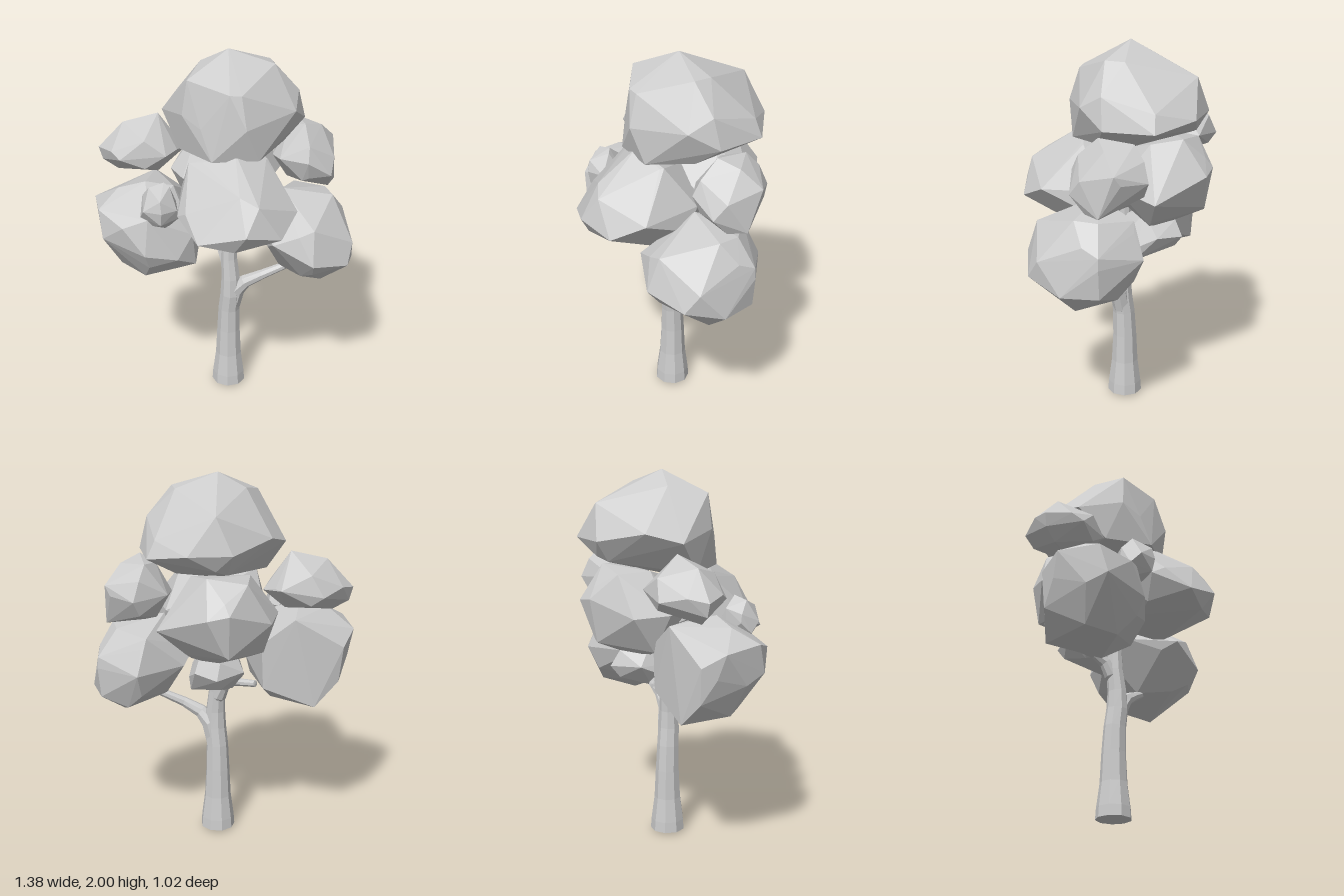
import * as THREE from 'three';
import { ConvexGeometry } from 'three/addons/geometries/ConvexGeometry.js';

const material = new THREE.MeshStandardMaterial({ color: 0xcccccc, flatShading: true });

// Loft of round sections [x, y, z, radius]; zero-radius ends close it
function limb(name, sections, sides = 8) {
  const up = new THREE.Vector3(0, 1, 0);
  const centres = sections.map(([x, y, z]) => new THREE.Vector3(x, y, z));
  const pos = [], index = [];
  centres.forEach((c, i) => {
    const dir = centres[Math.min(i + 1, centres.length - 1)].clone()
      .sub(centres[Math.max(i - 1, 0)]).normalize();
    const q = new THREE.Quaternion().setFromUnitVectors(up, dir);
    for (let j = 0; j < sides; j++) {
      const a = ((j + 0.5) / sides) * Math.PI * 2;
      const p = new THREE.Vector3(Math.cos(a), 0, Math.sin(a))
        .multiplyScalar(sections[i][3]).applyQuaternion(q).add(c);
      pos.push(p.x, p.y, p.z);
      if (i < centres.length - 1) {
        const k = i * sides + j, n = i * sides + ((j + 1) % sides);
        index.push(k, k + sides, n, n, k + sides, n + sides);
      }
    }
  });
  const g = new THREE.BufferGeometry();
  g.setAttribute('position', new THREE.Float32BufferAttribute(pos, 3));
  g.setIndex(index);
  g.computeVertexNormals();
  const mesh = new THREE.Mesh(g, material);
  mesh.name = name;
  return mesh;
}

// Faceted leaf clump: hull of an icosahedral core and a few jutting corners
function clump(name, centre, radii, corners) {
  const core = new THREE.IcosahedronGeometry(1.06, 0).scale(...radii).translate(...centre);
  const p = core.attributes.position;
  const points = corners.map((c) => new THREE.Vector3(...c));
  for (let i = 0; i < p.count; i++) points.push(new THREE.Vector3().fromBufferAttribute(p, i));
  const mesh = new THREE.Mesh(new ConvexGeometry(points), material);
  mesh.name = name;
  return mesh;
}

export function createModel() {
  const tree = new THREE.Group();
  tree.name = 'tree';

  // Trunk with a flared foot
  tree.add(limb('trunk', [
    [0.02, 0, -0.04, 0], [0.02, 0.012, -0.04, 0.094], [0.02, 0.07, -0.04, 0.09],
    [0.02, 0.2, -0.04, 0.073], [0.02, 0.36, -0.04, 0.065], [0.022, 0.5, -0.035, 0.06],
    [0.03, 0.6, -0.025, 0.058], [0.03, 0.7, -0.025, 0.052], [0.022, 0.82, -0.035, 0.045],
    [0.023, 0.95, -0.04, 0.041], [0.025, 1.25, -0.04, 0.03], [0.025, 1.26, -0.04, 0],
  ], 9));

  // Branches
  tree.add(limb('leftBranch', [
    [0.03, 0.46, -0.035, 0], [0.036, 0.52, -0.03, 0.048], [0.06, 0.63, -0.02, 0.05],
    [0.11, 0.685, 0, 0.037], [0.2, 0.735, 0.02, 0.027], [0.33, 0.795, 0.03, 0.02],
    [0.4, 0.83, 0.03, 0],
  ]));
  tree.add(limb('rightBranch', [
    [0.02, 0.73, -0.04, 0], [0.014, 0.79, -0.05, 0.04], [-0.01, 0.86, -0.08, 0.034],
    [-0.05, 0.9, -0.13, 0.025], [-0.1, 0.915, -0.19, 0.02], [-0.16, 0.925, -0.24, 0.018],
    [-0.162, 0.925, -0.242, 0],
  ]));

  // Leaf clumps
  const leaves = new THREE.Group();
  leaves.name = 'foliage';
  leaves.add(
    clump('crownClump', [0.06, 1.71, -0.12], [0.32, 0.24, 0.35], [
      [0.02, 2, -0.07], [-0.2, 1.89, 0.07], [0.25, 1.93, -0.02], [0, 1.85, 0.2],
      [-0.32, 1.66, -0.15], [0.42, 1.62, -0.07], [0.38, 1.78, -0.05], [-0.14, 1.66, 0.15],
      [0.08, 1.68, 0.245], [-0.02, 1.66, -0.475], [0.2, 1.66, -0.475], [0.39, 1.62, -0.33],
      [0.08, 1.81, -0.4], [-0.09, 1.5, 0.2], [0.15, 1.5, 0.2], [-0.24, 1.49, -0.02],
      [0.3, 1.52, 0], [0.05, 1.46, -0.07], [0, 1.55, -0.4]]),
    clump('frontClump', [0.03, 1.27, 0.14], [0.29, 0.23, 0.29], [
      [0.03, 1.54, 0.18], [-0.2, 1.46, 0.1], [0.2, 1.48, 0.12], [0.05, 1.23, 0.515],
      [-0.18, 1.16, 0.43], [0.235, 1.18, 0.45], [0.335, 1.26, 0.3], [-0.27, 1.23, 0.24],
      [0, 1.12, 0.45], [0.12, 1.36, 0.45], [0.31, 1.15, 0.04], [0.2, 1.06, 0.2],
      [0, 1.03, 0.05], [-0.2, 1.1, 0.2]]),
    clump('backClump', [0.02, 1.29, -0.23], [0.27, 0.24, 0.27], [
      [0, 1.37, -0.51], [0.11, 1.35, -0.51], [-0.1, 1.5, -0.4], [0.1, 1.53, -0.38],
      [0, 1.14, -0.47], [0.05, 1.04, -0.25], [-0.28, 1.3, -0.2], [0.35, 1.25, -0.32],
      [-0.2, 1.1, -0.25], [0.2, 1.1, -0.25]]),
    clump('lowerRightClump', [-0.42, 1.05, -0.03], [0.26, 0.25, 0.25], [
      [-0.69, 1.18, -0.14], [-0.67, 1.2, 0.07], [-0.66, 1, 0], [-0.47, 0.79, -0.26],
      [-0.27, 0.77, -0.03], [-0.44, 0.81, 0.1], [-0.17, 0.87, 0.1], [-0.135, 1, 0],
      [-0.2, 0.9, -0.25], [-0.19, 1.14, -0.25], [-0.36, 1.27, -0.26], [-0.44, 1, 0.24],
      [-0.55, 1.15, 0.2], [-0.27, 0.95, 0.2], [-0.42, 1.31, -0.02], [-0.62, 1.11, -0.24],
      [-0.6, 0.92, -0.23]]),
    clump('lowerLeftClump', [0.43, 1, 0.02], [0.25, 0.23, 0.29], [
      [0.685, 0.84, 0.05], [0.52, 0.7, 0.04], [0.4, 0.765, 0.05], [0.38, 0.82, 0.2],
      [0.64, 1.1, -0.05], [0.65, 1.06, -0.14], [0.64, 0.84, -0.14], [0.5, 0.79, -0.18],
      [0.55, 1.2, -0.1], [0.3, 1.25, 0], [0.14, 1.06, 0], [0.22, 1.05, 0.27],
      [0.42, 0.95, 0.345], [0.62, 0.9, 0.25], [0.35, 1.1, 0.29], [0.45, 1, -0.3],
      [0.4, 1.18, -0.23], [0.24, 0.93, 0.05]]),
    clump('upperRightClump', [-0.42, 1.45, -0.2], [0.19, 0.14, 0.18], [
      [-0.66, 1.43, -0.22], [-0.64, 1.36, -0.22], [-0.56, 1.31, -0.2], [-0.54, 1.54, -0.2],
      [-0.34, 1.62, -0.2], [-0.48, 1.42, -0.39], [-0.27, 1.45, -0.355], [-0.31, 1.45, -0.01],
      [-0.55, 1.42, -0.05], [-0.35, 1.31, -0.15], [-0.2, 1.42, -0.2]]),
    clump('upperLeftClump', [0.43, 1.41, -0.12], [0.16, 0.16, 0.19], [
      [0.42, 1.59, -0.05], [0.4, 1.57, -0.23], [0.6, 1.46, -0.2], [0.6, 1.24, -0.12],
      [0.55, 1.24, -0.03], [0.46, 1.4, -0.325], [0.26, 1.4, -0.1], [0.42, 1.42, 0.09],
      [0.55, 1.33, 0.05], [0.4, 1.28, -0.2], [0.4, 1.3, 0.03]]),
    clump('smallFrontClump', [-0.355, 1.255, 0.17], [0.095, 0.12, 0.1], [
      [-0.33, 1.38, 0.15], [-0.455, 1.2, 0.17], [-0.44, 1.3, 0.12], [-0.26, 1.2, 0.2],
      [-0.33, 1.13, 0.17], [-0.38, 1.14, 0.17], [-0.35, 1.26, 0.275], [-0.32, 1.25, 0.07]]),
    clump('smallBackClump', [0.03, 1, -0.18], [0.14, 0.13, 0.16], [
      [-0.11, 0.95, -0.16], [0.06, 0.87, -0.17], [0.17, 0.87, -0.15], [0.18, 0.95, -0.17],
      [0.05, 0.99, -0.37], [0.05, 1.12, -0.2], [0.05, 0.95, -0.02]]),
  );
  tree.add(leaves);
  return tree;
}
